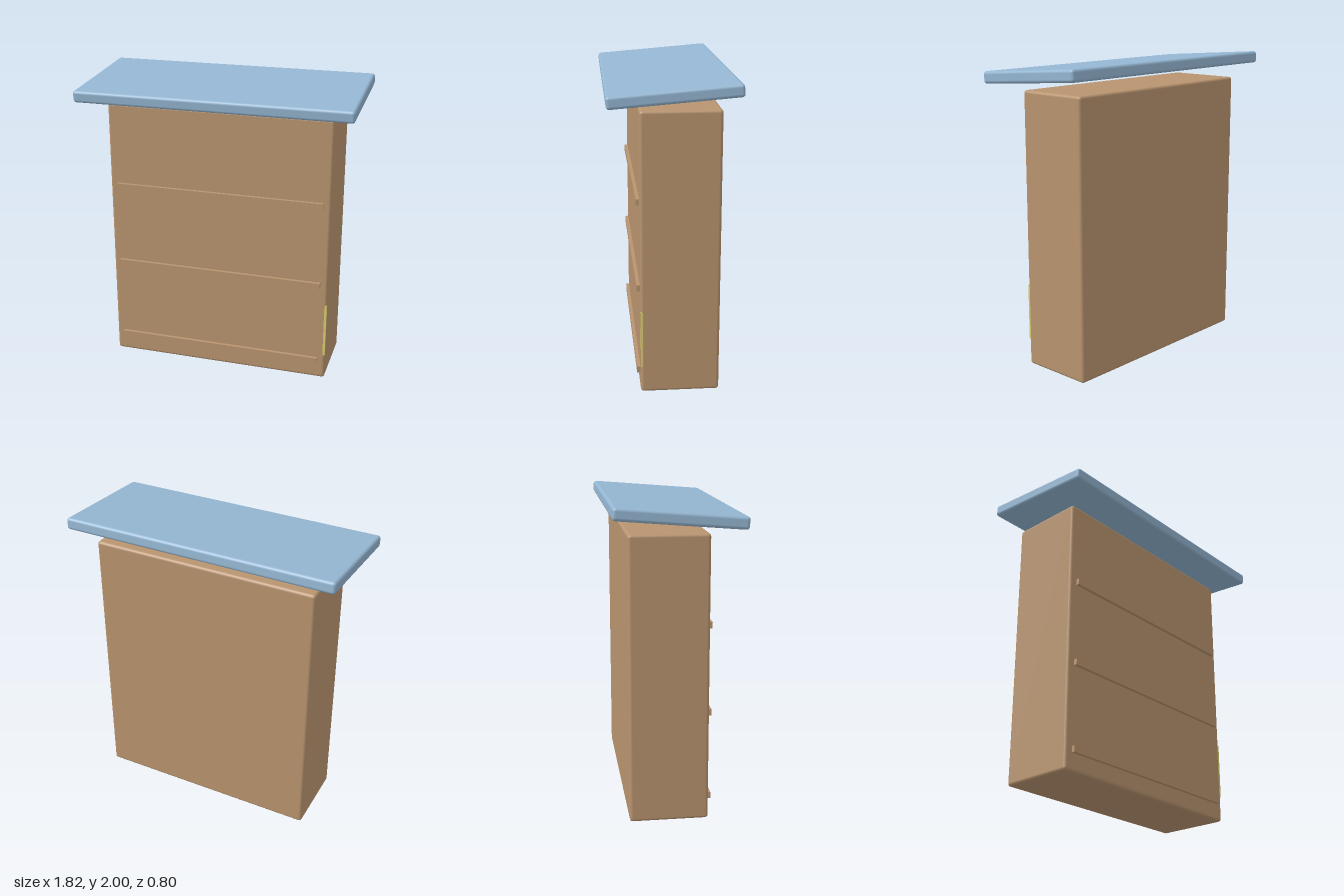
import * as THREE from 'three';
import { RoundedBoxGeometry } from 'three/addons/geometries/RoundedBoxGeometry.js';

const mat = (color) => new THREE.MeshStandardMaterial({ color });

export function createModel() {
  const group = new THREE.Group();
  const wood = mat(0xb8946f);

  const add = (name, geometry, material, x, y, z) => {
    const mesh = new THREE.Mesh(geometry, material);
    mesh.name = name;
    mesh.position.set(x, y, z);
    group.add(mesh);
    return mesh;
  };

  // Cabinet body with softly rounded edges
  add('cabinet', new RoundedBoxGeometry(1.515, 1.825, 0.5, 3, 0.02), wood, 0, 0.9125, -0.05);

  // Roof slab, higher at the back
  const roof = add('roof', new RoundedBoxGeometry(1.82, 0.078, 0.8, 3, 0.02), mat(0x94b6d2), 0, 1.931, 0);
  roof.rotation.x = 0.08;

  // Shelf lips across the front
  const lip = new THREE.BoxGeometry(1.415, 0.04, 0.022);
  for (const y of [0.135, 0.695, 1.255]) add('shelfLip', lip, wood, 0, y, 0.211);

  // Books set into the shelves: shelf base, x, width, height, colour
  const books = [
    [0.17, -0.59, 0.06, 0.42, 0xb05a55], [0.17, -0.49, 0.05, 0.36, 0x6f93b5],
    [0.73, -0.40, 0.06, 0.38, 0x7fb59a],
    [1.29, -0.59, 0.05, 0.36, 0x8d86b8], [1.29, -0.37, 0.06, 0.40, 0xc0706c],
    [1.29, 0.00, 0.05, 0.42, 0x7f9a98], [1.29, 0.34, 0.06, 0.36, 0x9a80a8],
  ];
  for (const [base, x, w, h, color] of books) {
    add('book', new THREE.BoxGeometry(w, h, 0.3), mat(color), x, base + h / 2, 0.049);
  }

  // End book showing at the rounded front corner
  add('endBook', new THREE.BoxGeometry(0.05, 0.375, 0.3), mat(0xd9cf6c), 0.7315, 0.3625, 0.0495);

  return group;
}
